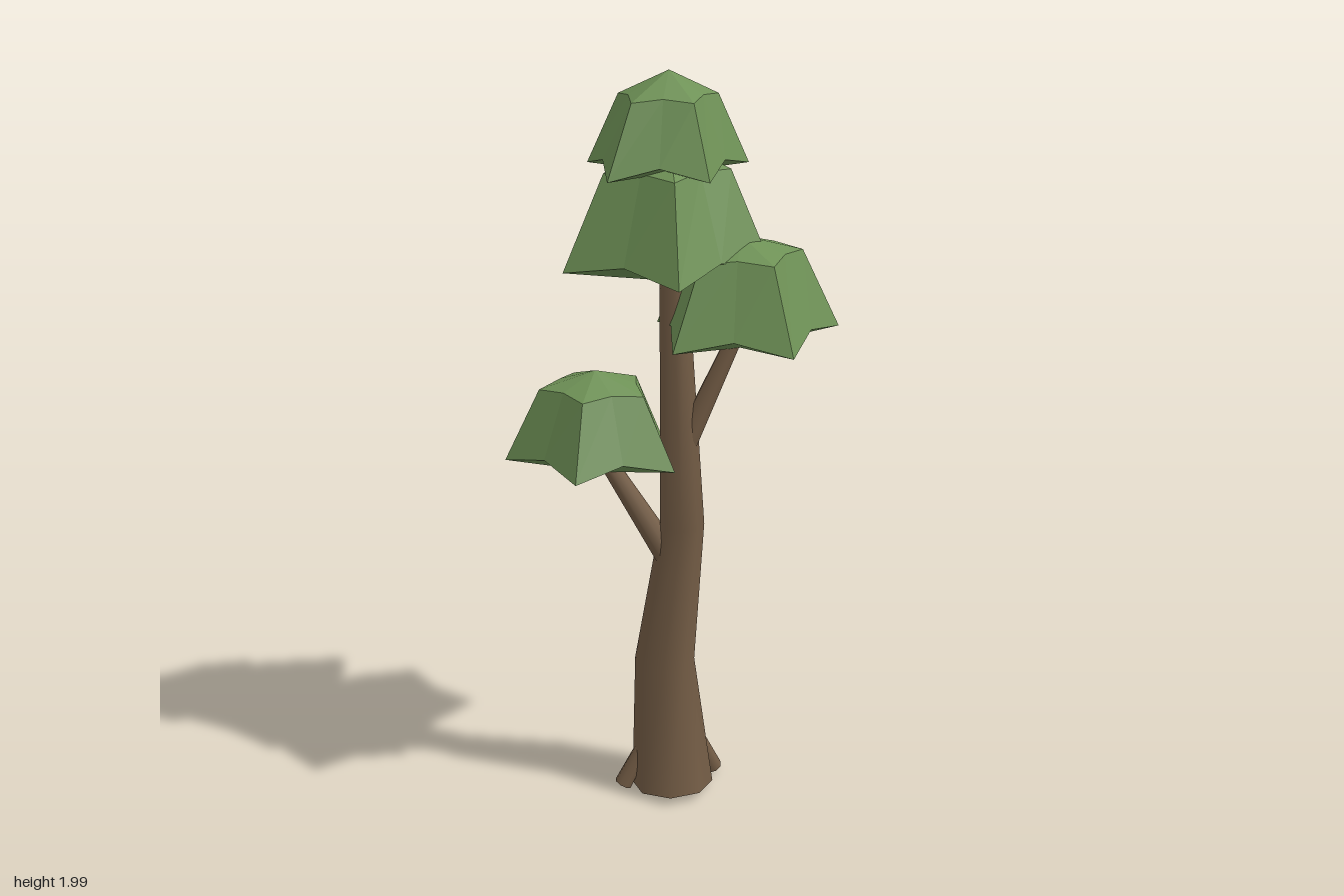
import * as THREE from 'three';

const leaf = new THREE.MeshStandardMaterial({ color: 0x6e9156, flatShading: true });
leaf.name = 'leaf green';
const bark = new THREE.MeshStandardMaterial({ color: 0x735c45 });
bark.name = 'bark brown';

// Skins a stack of rings (bottom to top); the first and last ring may be closed by a point.
function loft(rings, bottom, top) {
  const n = rings[0].length;
  const points = [...rings.flat(), bottom, top];
  const index = [];
  const last = (rings.length - 1) * n;
  const b = rings.length * n;
  for (let i = 0; i < n; i++) {
    const j = (i + 1) % n;
    for (let k = 0; k < last; k += n) {
      index.push(k + i, k + n + i, k + j, k + j, k + n + i, k + n + j);
    }
    if (bottom) index.push(b, i, j);
    if (top) index.push(b + 1, last + j, last + i);
  }
  const geometry = new THREE.BufferGeometry();
  geometry.setAttribute('position',
    new THREE.Float32BufferAttribute(points.flatMap((p) => p || [0, 0, 0]), 3));
  geometry.setIndex(index);
  geometry.computeVertexNormals();
  return geometry;
}

// Five-pointed leaf cap: lower point, scalloped rim, shoulder ring and peak.
function canopy(name, [cx, cz], tips, { peak, shoulder, rim, base }) {
  const around = tips.flatMap(([x, z], i) => {
    const [nx, nz] = tips[(i + 1) % tips.length];
    // the valley between two tips is pulled in from the chord
    const v = 0.92;
    return [
      { x: x - cx, z: z - cz, tip: true },
      { x: ((x + nx) / 2 - cx) * v, z: ((z + nz) / 2 - cz) * v, tip: false },
    ];
  });
  const rimRing = around.map((p) => [cx + p.x, p.tip ? rim : rim + 0.03, cz + p.z]);
  const shoulderRing = around.map((p) =>
    [cx + p.x * 0.61, p.tip ? shoulder : shoulder + 0.008, cz + p.z * 0.61]);
  const mesh = new THREE.Mesh(
    loft([rimRing, shoulderRing], [cx, base, cz], [cx, peak, cz]), leaf);
  mesh.name = name;
  return mesh;
}

// Tapered round limb between two points.
function limb(name, from, to, r0, r1) {
  const a = new THREE.Vector3(...from);
  const d = new THREE.Vector3(...to).sub(a);
  const mesh = new THREE.Mesh(new THREE.CylinderGeometry(r1, r0, d.length(), 8), bark);
  mesh.position.copy(a).addScaledVector(d, 0.5);
  mesh.quaternion.setFromUnitVectors(new THREE.Vector3(0, 1, 0), d.normalize());
  mesh.name = name;
  return mesh;
}

export function createModel() {
  const tree = new THREE.Group();
  tree.name = 'tree';

  // Bent trunk: x, y, z, radius of each ring; the foot is cut at a slight slant
  const sides = 8;
  const rings = [
    [0.003, 0.023, 0.013, 0.112, 0.08],
    [-0.026, 0.4, 0.001, 0.081, 0],
    [0.044, 0.83, 0.04, 0.058, 0],
    [0.0, 1.45, -0.005, 0.037, 0],
    [0.0, 1.8, 0.01, 0.025, 0],
  ].map(([x, y, z, r, slant]) => Array.from({ length: sides }, (_, i) => {
    const a = ((i + 0.5) / sides) * Math.PI * 2;
    const dx = Math.cos(a) * r;
    const dz = Math.sin(a) * r;
    return [x + dx, y + slant * (dx + dz), z + dz];
  }));
  const trunk = new THREE.Mesh(loft(rings, null, null), bark);
  trunk.name = 'trunk';
  const foot = new THREE.Mesh(loft([rings[0]], [0.003, 0.023, 0.013], null), bark);
  foot.name = 'trunkFoot';
  tree.add(trunk, foot);

  // Branches and root stubs
  tree.add(
    limb('rightBranch', [0.015, 0.72, 0.045], [-0.165, 1.04, 0.115], 0.036, 0.02),
    limb('leftBranch', [0.035, 1.02, 0.03], [0.16, 1.36, -0.06], 0.032, 0.02),
    limb('rightRoot', [-0.115, 0.024, 0.085], [-0.06, 0.16, 0.04], 0.025, 0.02),
    limb('backRoot', [0.075, 0.024, -0.105], [0.04, 0.16, -0.05], 0.025, 0.02),
  );

  // Leaf caps; tips run counter to the clock around +y, starting near +x
  tree.add(
    canopy('topCanopy', [0.003, 0.032],
      [[0.163, 0.144], [-0.058, 0.243], [-0.212, 0.052], [-0.075, -0.173], [0.151, -0.118]],
      { peak: 2.0, shoulder: 1.937, rim: 1.762, base: 1.75 }),
    canopy('middleCanopy', [-0.02, -0.01],
      [[0.132, 0.249], [-0.198, 0.216], [-0.278, -0.122], [-0.007, -0.304], [0.226, -0.087]],
      { peak: 1.83, shoulder: 1.755, rim: 1.52, base: 1.465 }),
    canopy('leftCanopy', [0.16, -0.06],
      [[0.362, 0.085], [0.08, 0.175], [-0.075, -0.06], [0.089, -0.323], [0.362, -0.228]],
      { peak: 1.59, shoulder: 1.545, rim: 1.337, base: 1.298 }),
    canopy('rightCanopy', [-0.165, 0.118],
      [[0.068, 0.135], [-0.118, 0.32], [-0.366, 0.24], [-0.34, 0.02 - 0.04], [-0.08, -0.095]],
      { peak: 1.245, shoulder: 1.198, rim: 1.01, base: 0.967 }),
  );
  return tree;
}
